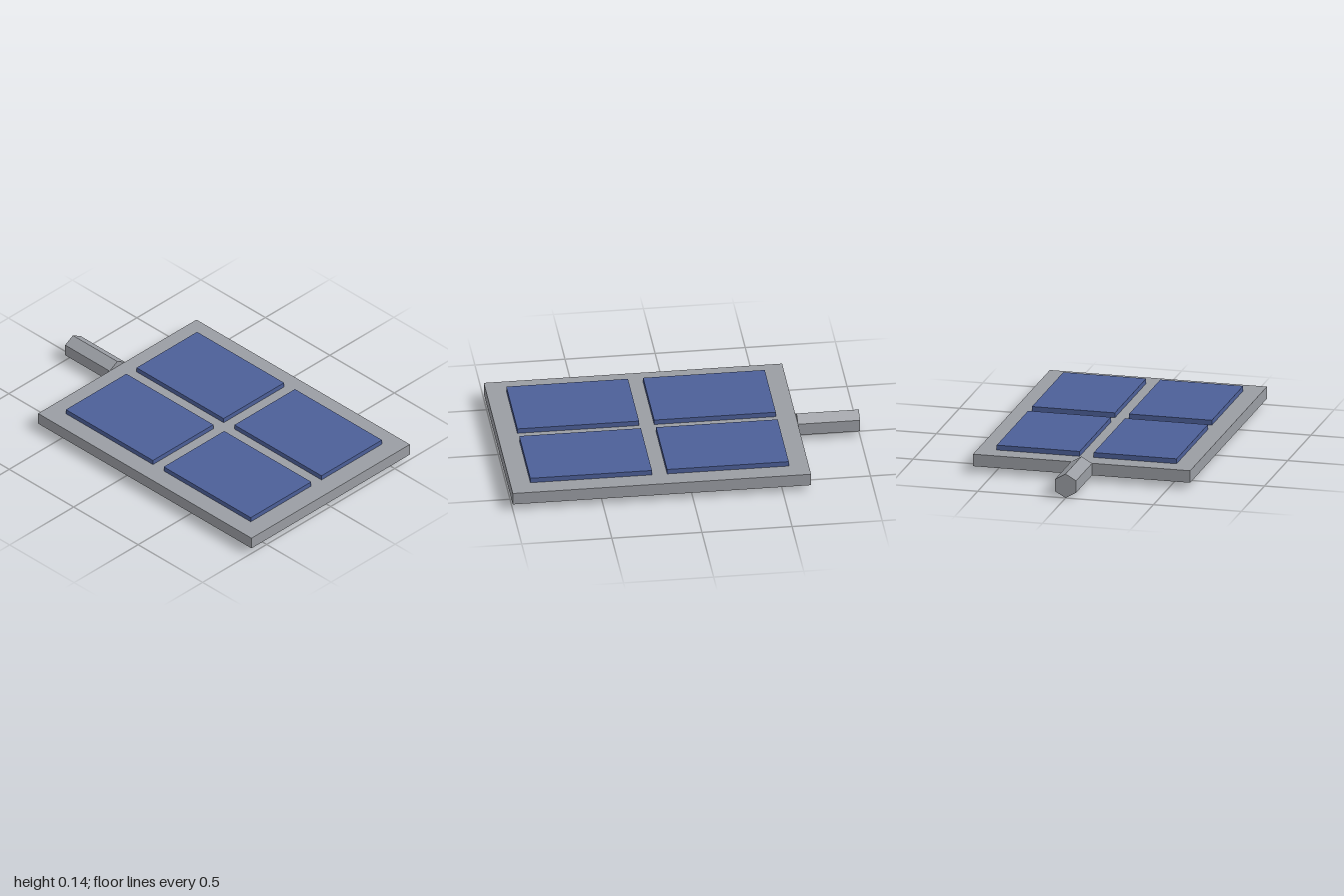
import * as THREE from 'three';

export function createModel() {
  const model = new THREE.Group();
  model.name = 'solarPanel';

  const frameGrey = new THREE.MeshStandardMaterial({ color: 0x9a9da3, flatShading: true });
  frameGrey.name = 'frameGrey';
  const cellBlue = new THREE.MeshStandardMaterial({ color: 0x4c5f98, flatShading: true });
  cellBlue.name = 'cellBlue';

  function add(name, geometry, material, x, y, z) {
    const mesh = new THREE.Mesh(geometry, material);
    mesh.name = name;
    mesh.position.set(x, y, z);
    model.add(mesh);
    return mesh;
  }

  // Flat backing slab
  const axisY = 0.069;
  add('panelFrame', new THREE.BoxGeometry(1.655, 0.069, 1.236), frameGrey, 0.1725, axisY, 0);

  // Four raised cells, two by two
  const cell = new THREE.BoxGeometry(0.675, 0.028, 0.472);
  for (const x of [-0.2075, 0.5515]) {
    for (const z of [-0.276, 0.276]) {
      add('solarCell', cell, cellBlue, x, 0.1175, z);
    }
  }

  // Hexagonal mounting rod with a ridge at top and bottom
  const rod = new THREE.CylinderGeometry(0.069, 0.069, 0.345, 6, 1, false, Math.PI / 6);
  rod.rotateZ(Math.PI / 2);
  add('mountingRod', rod, frameGrey, -0.8275, axisY, 0);

  return model;
}
